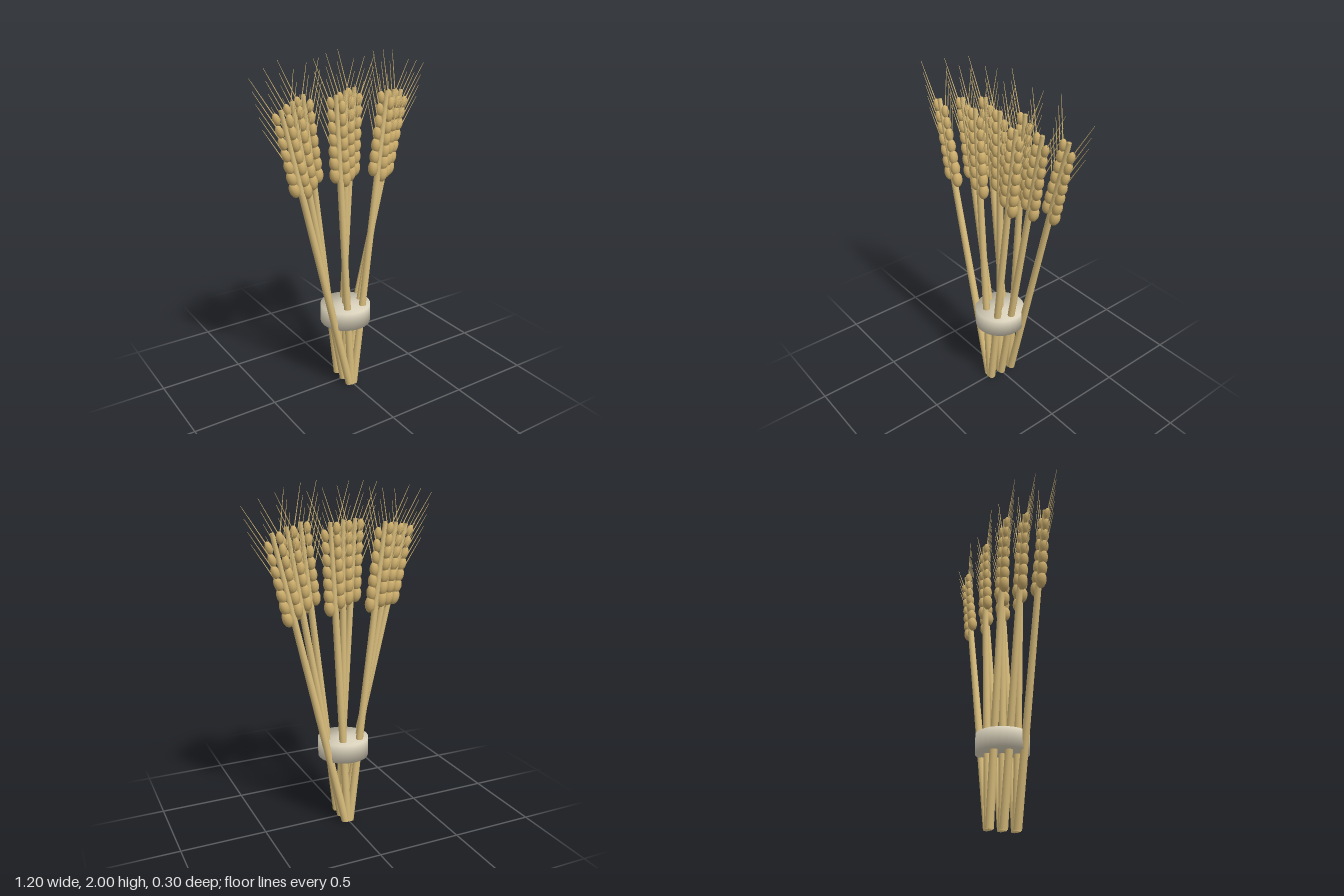
import * as THREE from 'three';
import { mergeVertices } from 'three/addons/utils/BufferGeometryUtils.js';

// Weld a geometry so its normals run smoothly over the rims
function welded(geometry) {
  geometry.deleteAttribute('normal');
  geometry.deleteAttribute('uv');
  const g = mergeVertices(geometry, 1e-4);
  g.computeVertexNormals();
  return g;
}

export function createModel() {
  const root = new THREE.Group();
  root.name = 'wheatSheaf';

  const straw = new THREE.MeshStandardMaterial({ color: 0xd9bd7c });
  straw.name = 'straw';
  const grainGold = new THREE.MeshStandardMaterial({ color: 0xcdae6c });
  grainGold.name = 'grain gold';
  const linen = new THREE.MeshStandardMaterial({ color: 0xd9d1bb });
  linen.name = 'linen';

  const STALKS = 9, GRAINS = 14, EAR_START = 1.325, GRAIN_STEP = 0.033;
  const STALK_LENGTH = 1.32, EAR_TOP = 1.79, MAX_TILT = 0.235;

  const stalkGeo = welded(new THREE.CylinderGeometry(0.0185, 0.0235, STALK_LENGTH, 10));
  stalkGeo.translate(0, STALK_LENGTH / 2, 0);
  const coreLength = EAR_TOP - STALK_LENGTH + 0.02;
  const coreGeo = welded(new THREE.CylinderGeometry(0.013, 0.017, coreLength, 8));
  coreGeo.translate(0, EAR_TOP - coreLength / 2, 0);
  const grainGeo = new THREE.SphereGeometry(1, 12, 8);
  const awnGeo = new THREE.CylinderGeometry(0.0012, 0.0035, 0.258, 5);
  awnGeo.translate(0, 0.129, 0);

  function add(parent, geometry, material, name) {
    const mesh = new THREE.Mesh(geometry, material);
    mesh.name = name;
    parent.add(mesh);
    return mesh;
  }

  // Stalks fan out sideways and cycle through three rows in depth
  for (let i = 0; i < STALKS; i++) {
    const k = (i - (STALKS - 1) / 2) / ((STALKS - 1) / 2);
    const wheat = new THREE.Group();
    wheat.name = 'wheatStalk' + (i + 1);
    wheat.position.set(k * 0.02, 0.005 * Math.abs(k), (1 - (i % 3)) * 0.077);
    wheat.rotation.z = -k * MAX_TILT;
    root.add(wheat);

    add(wheat, stalkGeo, straw, 'stalk');
    add(wheat, coreGeo, straw, 'earCore');

    // Grains alternate between the two sides; the upper ones carry awns
    for (let j = 0; j < GRAINS; j++) {
      const side = j % 2 === 0 ? 1 : -1;
      const t = j / (GRAINS - 1);
      const y = EAR_START + j * GRAIN_STEP;
      const grain = add(wheat, grainGeo, grainGold, 'grain');
      grain.position.set(side * 0.035, y, 0);
      grain.scale.set(0.029 - 0.009 * t, 0.047 - 0.012 * t, 0.03 - 0.01 * t);
      grain.rotation.z = -side * 0.12;
      if (j >= 5) {
        const awn = add(wheat, awnGeo, straw, 'awn');
        awn.position.set(side * 0.035, y, 0);
        awn.rotation.z = -side * 0.345;
      }
    }
  }

  // Binding around the stalks
  const band = add(root, welded(new THREE.CylinderGeometry(0.15, 0.15, 0.11, 24)), linen, 'band');
  band.position.y = 0.465;

  return root;
}
